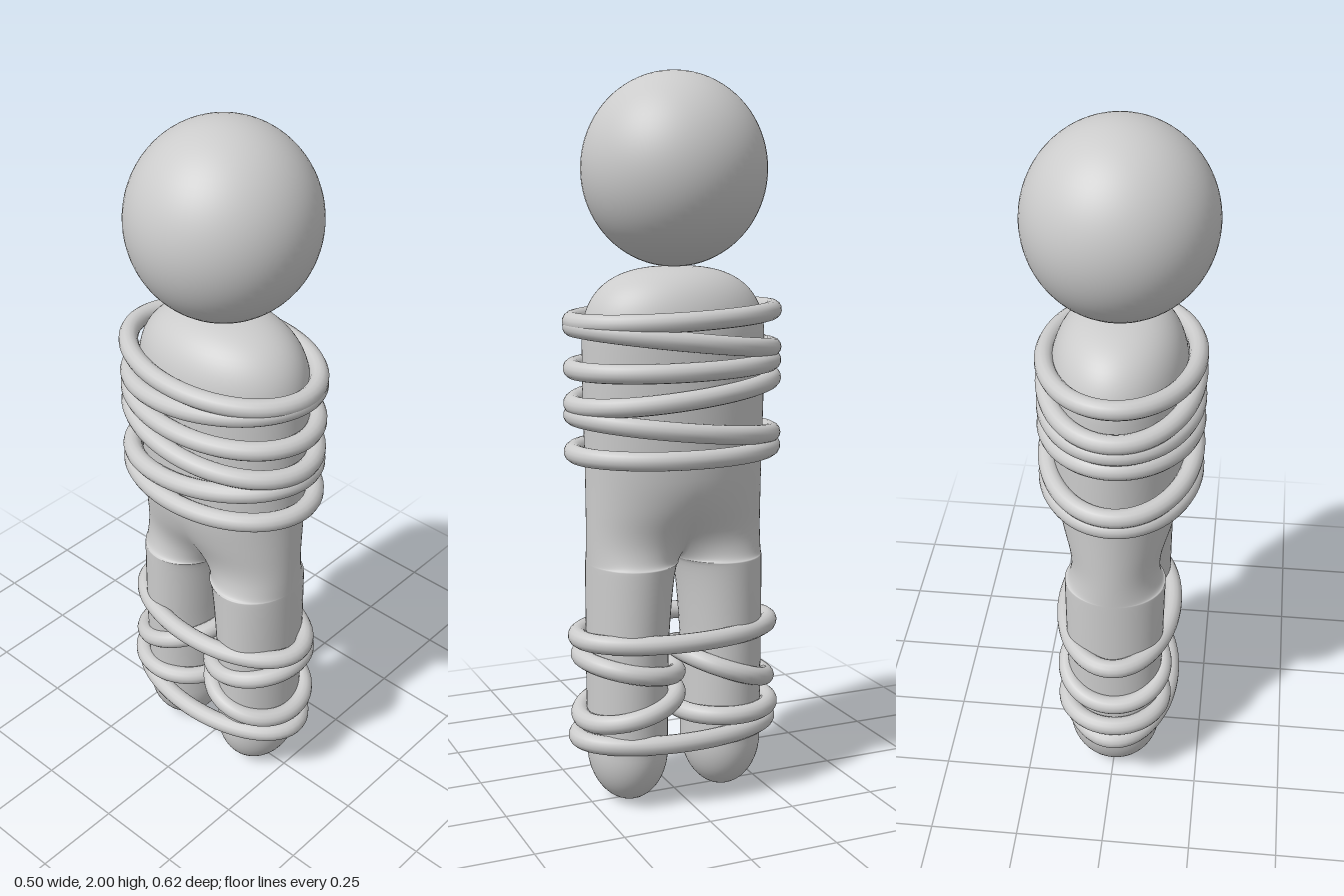
import * as THREE from 'three';
import { mergeVertices } from 'three/addons/utils/BufferGeometryUtils.js';

const material = new THREE.MeshStandardMaterial({ color: 0xcccccc });
const CROTCH = 0.685, SHOULDER = 1.28, TOP = 1.488, TOE = 0.15;

// Half width of the body in x by height
const girth = new THREE.SplineCurve([
  [0, 0.13], [0.2, 0.132], [0.45, 0.138], [0.68, 0.142], [0.76, 0.145], [0.85, 0.164],
  [0.95, 0.177], [1.1, 0.182], [1.3, 0.183], [1.5, 0.183],
].map(([y, x]) => new THREE.Vector2(x, y)));
const girthTable = girth.getPoints(200);
function girthAt(y) {
  const i = Math.max(1, girthTable.findIndex(p => p.y >= y));
  const a = girthTable[i - 1], b = girthTable[i];
  return THREE.MathUtils.mapLinear(y, a.y, b.y, a.x, b.x);
}

// One half of the cross-section: half a torso ellipse above, a closed leg ellipse below
function sectionPoint(y, angle) {
  const width = girthAt(y);
  const outer = 0.253 + 0.005 * THREE.MathUtils.smoothstep(y, 0.9, 1.2);
  const t = THREE.MathUtils.clamp((0.93 - y) / (0.93 - CROTCH), 0, 1);
  const leg = 1 - Math.sqrt(1 - t * t);
  const gap = 0.032 * Math.sqrt(THREE.MathUtils.clamp((CROTCH - y) / 0.25, 0, 1));
  const mid = (outer + gap) / 2, half = (outer - gap) / 2;
  let x = THREE.MathUtils.lerp(width * Math.sin(angle / 2), width * Math.sin(angle), leg);
  let z = THREE.MathUtils.lerp(outer * Math.cos(angle / 2), mid + half * Math.cos(angle), leg);
  // Rounded shoulders
  if (y > SHOULDER) {
    const k = Math.pow(Math.max(0, 1 - Math.pow((y - SHOULDER) / (TOP - SHOULDER), 2.6)), 1 / 2.6);
    x *= k;
    z *= k;
  }
  // Rounded feet
  if (y < TOE) {
    const k = Math.sqrt(Math.max(0, 1 - ((TOE - y) / TOE) ** 2));
    x *= k;
    z = 0.14 + (z - 0.14) * k;
  }
  return [x, y, z];
}

function bodyGeometry() {
  const rows = [], n = 48;
  for (let i = 0; i < 14; i++) rows.push(TOE * (1 - Math.cos(i / 14 * Math.PI / 2)));
  for (let i = 0; i < 16; i++) rows.push(TOE + (CROTCH - TOE) * Math.sin(i / 16 * Math.PI / 2));
  for (let i = 0; i < 20; i++) rows.push(CROTCH + (0.93 - CROTCH) * (i / 20) ** 2);
  for (let i = 0; i < 12; i++) rows.push(0.93 + (SHOULDER - 0.93) * i / 12);
  for (let i = 0; i <= 18; i++) rows.push(SHOULDER + (TOP - SHOULDER) * Math.sin(i / 18 * Math.PI / 2));

  const positions = [], index = [];
  for (const side of [1, -1]) {
    const base = positions.length / 3;
    for (const y of rows) {
      for (let j = 0; j <= n; j++) {
        const [x, h, z] = sectionPoint(y, (j / n * 2 - 1) * Math.PI);
        positions.push(x * side, h, z * side);
      }
    }
    for (let i = 0; i < rows.length - 1; i++) {
      for (let j = 0; j < n; j++) {
        const a = base + i * (n + 1) + j, b = a + 1, c = a + n + 1, d = c + 1;
        index.push(a, b, d, a, d, c);
      }
    }
  }
  const geometry = new THREE.BufferGeometry();
  geometry.setAttribute('position', new THREE.Float32BufferAttribute(positions, 3));
  geometry.setIndex(index);
  // Weld the two halves so the shading runs across the seam
  const welded = mergeVertices(geometry, 1e-5);
  welded.computeVertexNormals();
  return welded;
}

function addMesh(parent, name, geometry) {
  const mesh = new THREE.Mesh(geometry, material);
  mesh.name = name;
  parent.add(mesh);
  return mesh;
}

// Tilted elliptical loop of rope, given its heights at the front and back ends
function addRope(parent, name, yFront, yBack, rx, rz, zMid = 0, xMid = 0) {
  const points = [];
  for (let i = 0; i < 32; i++) {
    const a = i / 32 * Math.PI * 2;
    const y = (yFront + yBack) / 2 + (yFront - yBack) / 2 * Math.cos(a);
    points.push(new THREE.Vector3(xMid + rx * Math.sin(a), y, zMid + rz * Math.cos(a)));
  }
  const curve = new THREE.CatmullRomCurve3(points, true);
  addMesh(parent, name, new THREE.TubeGeometry(curve, 80, 0.026, 14, true));
}

export function createModel() {
  const model = new THREE.Group();
  model.name = 'boundFigure';

  const head = addMesh(model, 'head', new THREE.SphereGeometry(0.25, 64, 40));
  head.scale.y = 1.03;
  head.position.y = 1.7425;

  addMesh(model, 'body', bodyGeometry());

  // Ropes around the torso: heights at front and back
  const torsoRopes = new THREE.Group();
  torsoRopes.name = 'torsoRopes';
  model.add(torsoRopes);
  [[1.344, 1.367], [1.33, 1.262], [1.217, 1.228], [1.122, 1.182], [1.092, 1.025], [0.99, 0.99]]
    .forEach(([front, back], i) => addRope(torsoRopes, `torsoRope${i + 1}`, front, back, 0.201, 0.283, 0, -0.005));

  // Ropes around both legs and around each leg
  const legRopes = new THREE.Group();
  legRopes.name = 'legRopes';
  model.add(legRopes);
  addRope(legRopes, 'upperLegsRope', 0.48, 0.48, 0.157, 0.283);
  addRope(legRopes, 'lowerLegsRope', 0.192, 0.192, 0.15, 0.283, 0, -0.005);
  addRope(legRopes, 'frontLegUpperRope', 0.422, 0.368, 0.14, 0.133, 0.139);
  addRope(legRopes, 'frontLegLowerRope', 0.248, 0.312, 0.14, 0.133, 0.139);
  addRope(legRopes, 'backLegUpperRope', 0.415, 0.32, 0.14, 0.13, -0.139);
  addRope(legRopes, 'backLegLowerRope', 0.248, 0.246, 0.14, 0.14, -0.141);

  return model;
}
